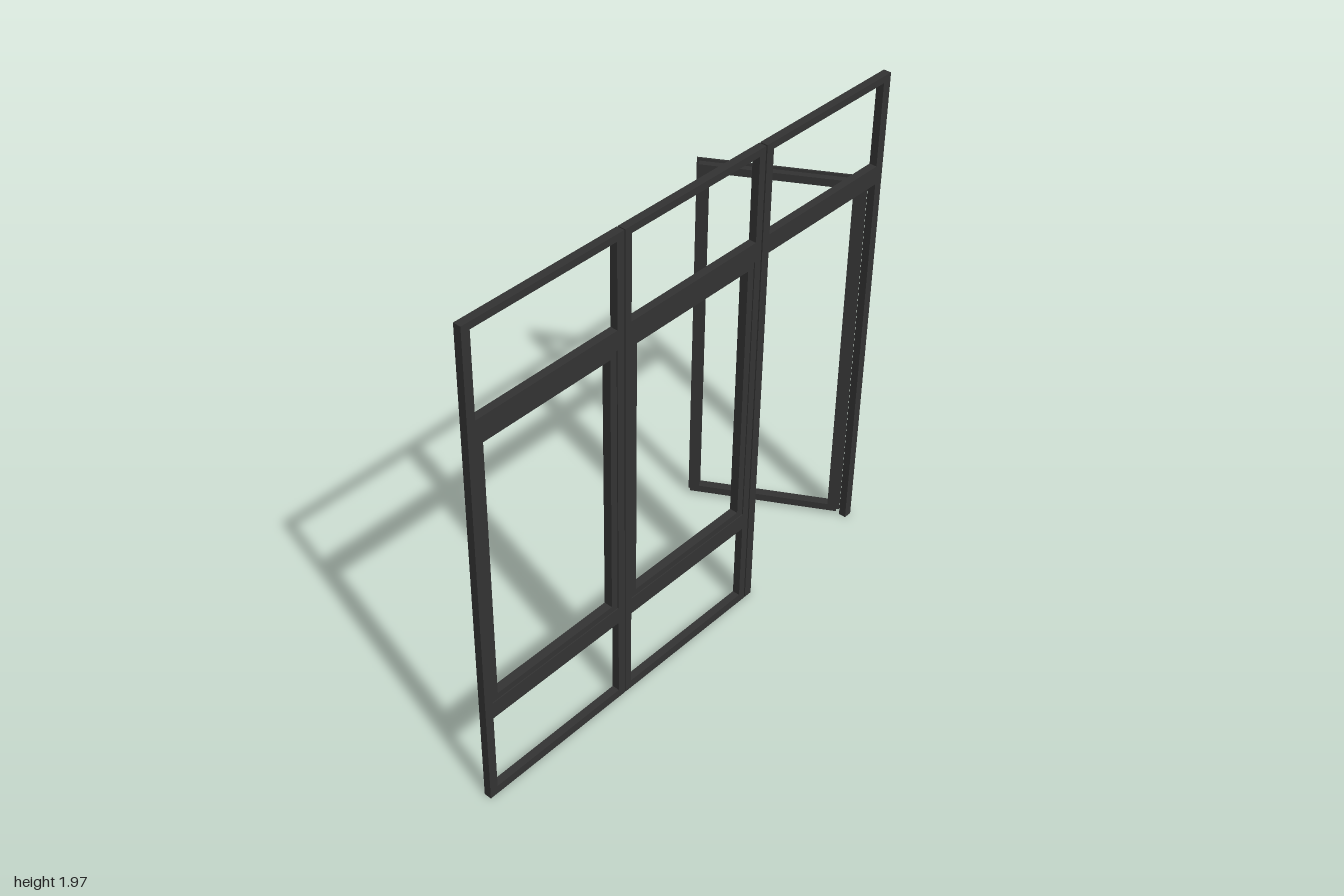
import * as THREE from 'three';

const metal = new THREE.MeshStandardMaterial({ color: 0x333333 });
metal.name = 'darkFrame';

const rect = (path, a0, b0, a1, b1) => {
  path.moveTo(a0, b0);
  path.lineTo(a1, b0);
  path.lineTo(a1, b1);
  path.lineTo(a0, b1);
  path.closePath();
  return path;
};

// Flat plate with rectangular openings, drawn in local (x, y) and extruded along z
function plate(name, outline, openings, z, depth) {
  const shape = rect(new THREE.Shape(), ...outline);
  openings.forEach((o) => shape.holes.push(rect(new THREE.Path(), ...o)));
  const geo = new THREE.ExtrudeGeometry(shape, { depth, bevelEnabled: false });
  geo.translate(0, 0, z);
  const mesh = new THREE.Mesh(geo, metal);
  mesh.name = name;
  return mesh;
}

// Stepped casement: a body ring plus a wider thin lip on the inner side
function casement(name, [a0, b0, a1, b1], width, lip, z, depth) {
  const g = new THREE.Group();
  g.name = name;
  const hole = [a0 + width, b0 + width * 0.85, a1 - width, b1 - width * 0.85];
  g.add(plate(name + 'Body', [a0, b0, a1, b1], [hole], z, depth));
  g.add(plate(name + 'Lip', [a0 - lip, b0 - lip, a1 + lip, b1 + lip], [hole], z + depth, 0.008));
  return g;
}

export function createModel() {
  const model = new THREE.Group();
  model.name = 'windowWall';

  // Fixed wall: local x runs along model z, local z runs towards -x
  const wall = new THREE.Group();
  wall.name = 'fixedWall';
  wall.rotation.y = -Math.PI / 2;
  wall.position.x = 0.288;
  model.add(wall);

  const bays = [
    { name: 'frontBay', outer: [0.328, 1], inner: [0.36, 0.966] },
    { name: 'middleBay', outer: [-0.338, 0.324], inner: [-0.308, 0.295] },
  ];
  bays.forEach(({ name, outer, inner }) => {
    const [a0, a1] = inner;
    wall.add(plate(name + 'Frame', [outer[0], 0, outer[1], 1.97], [
      [a0, 0.035, a1, 0.368],
      [a0, 0.437, a1, 1.542],
      [a0, 1.618, a1, 1.943],
    ], 0, 0.03));
    wall.add(casement(name + 'Sash', [a0, 0.437, a1, 1.542], 0.029, 0.012, 0.004, 0.026));
  });

  // Doorway bay: light above, one jamb on each side, open below
  wall.add(plate('doorTopLight', [-1, 1.545, -0.344, 1.97], [[-0.964, 1.618, -0.378, 1.943]], 0, 0.03));
  wall.add(plate('rearJamb', [-1, 0, -0.966, 1.545], [], 0, 0.03));
  wall.add(plate('frontJamb', [-0.378, 0, -0.344, 1.545], [], 0, 0.03));

  // Recessed strips closing the joints between bays
  [[0.323, 0.329], [-0.345, -0.337]].forEach(([a, b]) => {
    wall.add(plate('jointStrip', [a, 0, b, 1.96], [], 0.008, 0.016));
  });

  // Door leaf swung open on the rear jamb
  const door = casement('doorLeaf', [0.01, 0.018, 0.603, 1.54], 0.036, 0.01, -0.015, 0.026);
  door.position.set(0.252, 0, -0.971);
  door.rotation.y = Math.PI * 7 / 6;
  model.add(door);

  return model;
}
